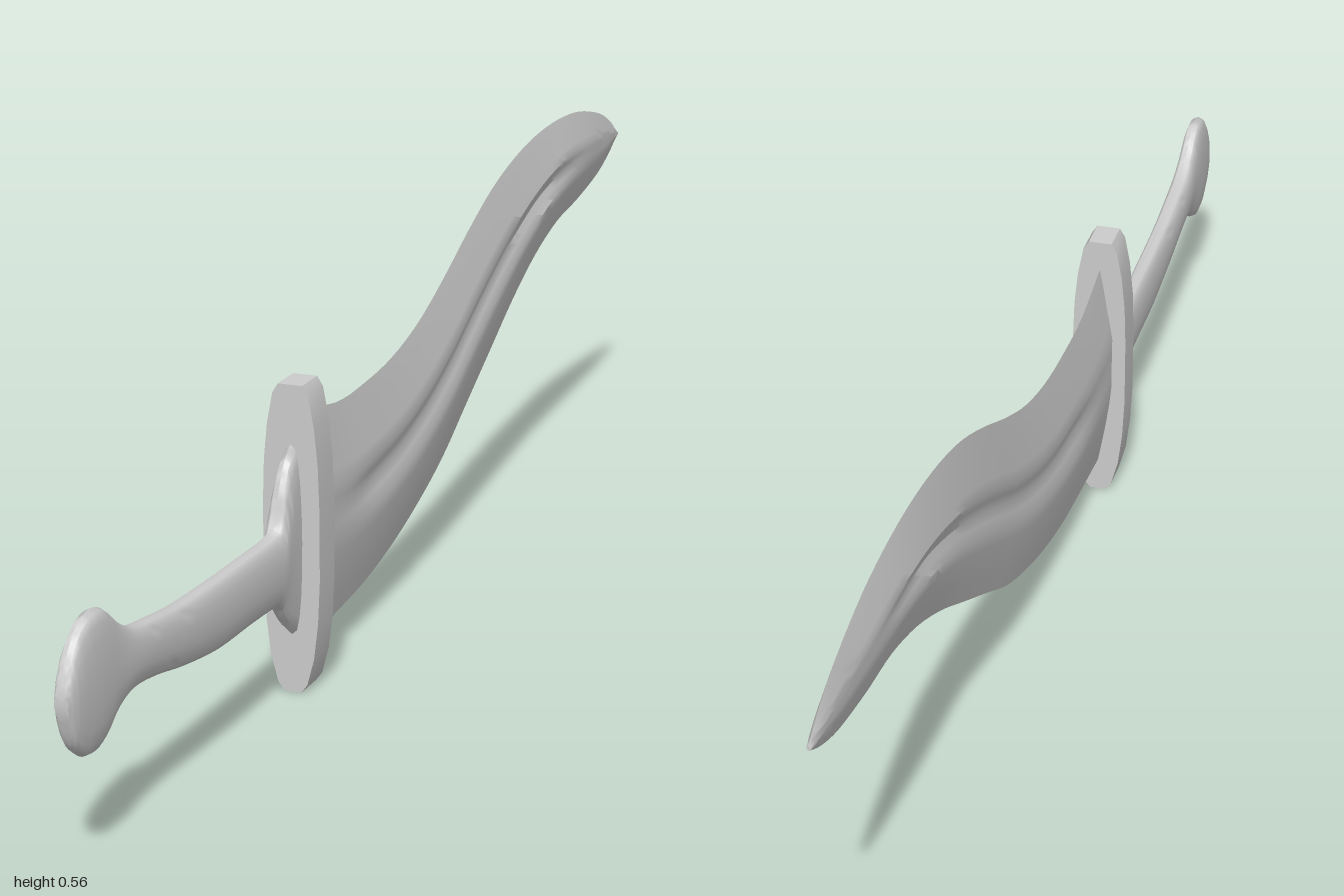
import * as THREE from 'three';
import { toCreasedNormals } from 'three/addons/utils/BufferGeometryUtils.js';

const material = new THREE.MeshStandardMaterial({ color: 0xcccccc });

// Lofts a closed section along -z. Stations: [z, top, bottom, halfWidth, groove].
// section(groove) gives a counterclockwise ring of [widthFactor, heightFraction].
function loft(stations, section, steps, crease) {
  const spline = (pick) => new THREE.CatmullRomCurve3(
    stations.map((s) => new THREE.Vector3(...pick(s))), false, 'catmullrom', 0.5);
  const outline = spline((s) => [s[0], s[1], s[2]]);
  const thickness = spline((s) => [s[0], s[3], s[4] || 0]);
  const pos = [], index = [];
  const n = section(0).length;
  for (let i = 0; i <= steps; i++) {
    const { x: z, y: top, z: bottom } = outline.getPoint(i / steps);
    const { y: width, z: groove } = thickness.getPoint(i / steps);
    for (const [w, v] of section(groove)) pos.push(w * width, bottom + v * (top - bottom), z);
  }
  for (let i = 0; i < steps; i++) {
    for (let j = 0; j < n; j++) {
      const a = i * n + j, b = i * n + (j + 1) % n;
      index.push(a, a + n, b, b, a + n, b + n);
    }
  }
  // end caps
  for (const i of [0, steps]) {
    const s = stations[i ? stations.length - 1 : 0];
    const centre = pos.length / 3;
    pos.push(0, (s[1] + s[2]) / 2, s[0]);
    for (let j = 0; j < n; j++) {
      const a = i * n + j, b = i * n + (j + 1) % n;
      index.push(centre, ...(i ? [b, a] : [a, b]));
    }
  }
  const geo = new THREE.BufferGeometry();
  geo.setAttribute('position', new THREE.Float32BufferAttribute(pos, 3));
  geo.setIndex(index);
  return toCreasedNormals(geo, crease);
}

// Double-edged section with a hollow groove along each face
function bladeSection(groove) {
  const side = [
    [0.3, 0.1], [0.58, 0.2], [0.85, 0.32], [1, 0.41], [1 - 0.25 * groove, 0.47],
    [1 - 0.45 * groove, 0.53], [1 - 0.25 * groove, 0.59], [1, 0.65], [0.82, 0.72],
    [0.55, 0.81], [0.28, 0.91],
  ];
  const mirrored = side.map(([w, v]) => [-w, v]).reverse();
  return [[0, 0], ...side, [0, 1], ...mirrored];
}

// Flattened rounded section for the grip
function gripSection() {
  return Array.from({ length: 20 }, (_, i) => {
    const a = (i / 20) * Math.PI * 2 - Math.PI / 2;
    const c = Math.cos(a);
    return [Math.sign(c) * Math.abs(c) ** 0.7, 0.5 + 0.5 * Math.sin(a)];
  });
}

function createBlade() {
  const stations = [
    [0.32, 0.385, 0.05, 0.02, 0], [0.2, 0.358, 0.06, 0.02, 0.3], [0.1, 0.357, 0.07, 0.02, 1],
    [0, 0.366, 0.09, 0.02, 1], [-0.1, 0.39, 0.12, 0.02, 1], [-0.2, 0.43, 0.16, 0.02, 1],
    [-0.3, 0.477, 0.215, 0.02, 1], [-0.4, 0.518, 0.27, 0.02, 1], [-0.5, 0.545, 0.325, 0.02, 1],
    [-0.6, 0.56, 0.37, 0.02, 1], [-0.7, 0.564, 0.4, 0.02, 0.5], [-0.8, 0.557, 0.414, 0.017, 0],
    [-0.9, 0.535, 0.434, 0.011, 0], [-0.96, 0.511, 0.456, 0.007, 0], [-1, 0.485, 0.478, 0.003, 0],
  ];
  return loft(stations, bladeSection, 56, 0.6);
}

function createGrip() {
  const stations = [
    [1, 0.245, 0.215, 0.009], [0.985, 0.28, 0.175, 0.014], [0.96, 0.308, 0.151, 0.016],
    [0.93, 0.319, 0.145, 0.017], [0.9, 0.312, 0.155, 0.017], [0.87, 0.287, 0.176, 0.017],
    [0.83, 0.265, 0.187, 0.018], [0.77, 0.255, 0.18, 0.018], [0.7, 0.247, 0.165, 0.018],
    [0.6, 0.243, 0.15, 0.018], [0.5, 0.241, 0.147, 0.018], [0.425, 0.241, 0.143, 0.018],
    [0.405, 0.252, 0.136, 0.018], [0.39, 0.295, 0.117, 0.017], [0.37, 0.33, 0.095, 0.016],
    [0.335, 0.355, 0.07, 0.015],
  ];
  return loft(stations, gripSection, 60, 1);
}

function createGuard() {
  const side = [
    [0.012, 0], [0.021, 0.012], [0.031, 0.05], [0.037, 0.1], [0.04, 0.16], [0.04, 0.26],
    [0.038, 0.32], [0.033, 0.37], [0.025, 0.412], [0.017, 0.425],
  ];
  const outline = [...side, ...side.map(([x, y]) => [-x, y]).reverse()];
  const shape = new THREE.Shape(outline.map(([x, y]) => new THREE.Vector2(x, y)));
  const geo = new THREE.ExtrudeGeometry(shape, { depth: 0.05, bevelEnabled: false });
  geo.translate(0, 0, 0.302);
  return toCreasedNormals(geo, 0.7);
}

export function createModel() {
  const group = new THREE.Group();
  group.name = 'curvedDagger';
  const parts = { blade: createBlade(), guard: createGuard(), grip: createGrip() };
  for (const [name, geometry] of Object.entries(parts)) {
    const mesh = new THREE.Mesh(geometry, material);
    mesh.name = name;
    group.add(mesh);
  }
  return group;
}
